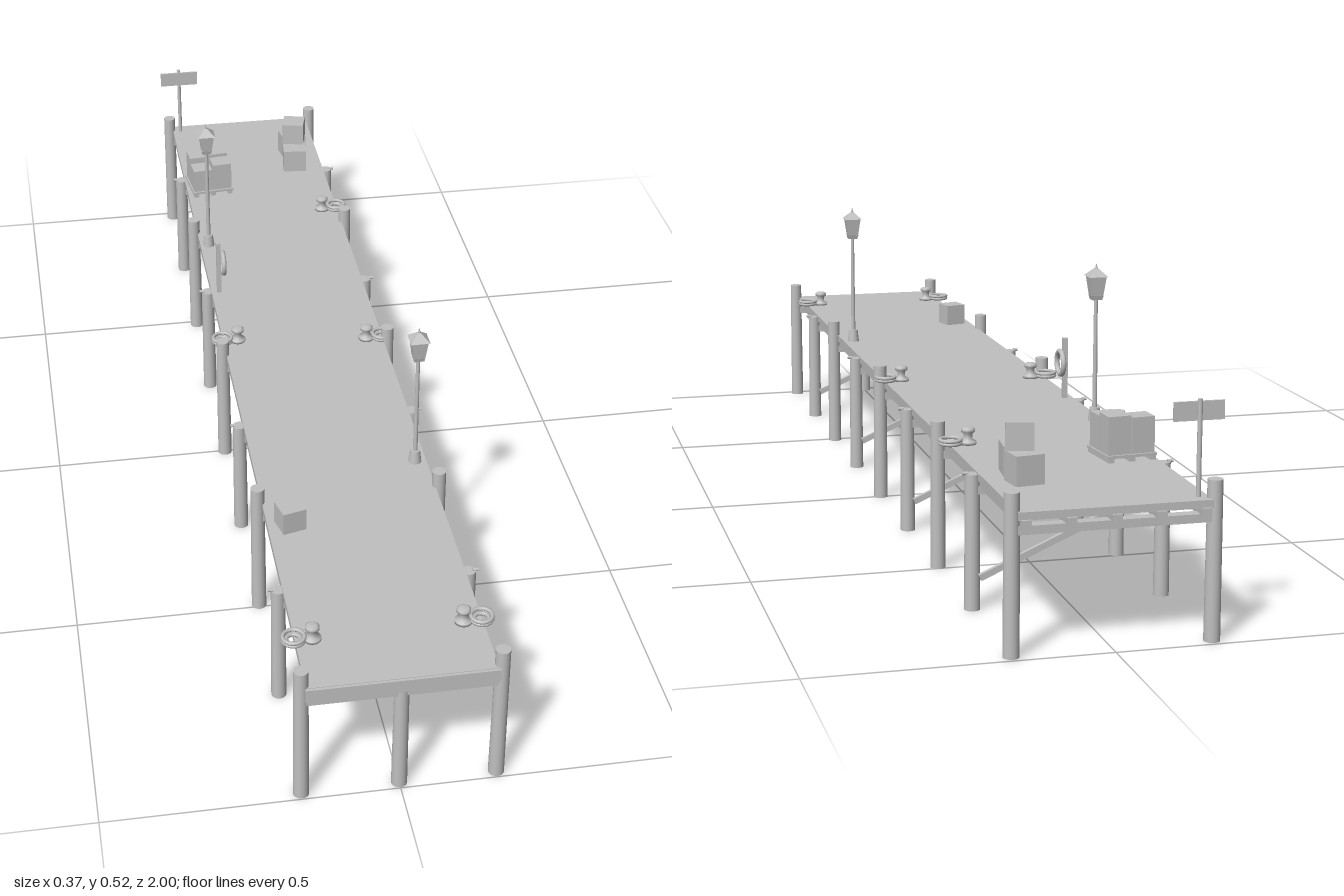
import * as THREE from 'three';

const grey = new THREE.MeshStandardMaterial({ color: 0xc0c0c0 });
grey.name = 'plain grey';
const DECK = 0.235;

function add(parent, name, geometry, x = 0, y = 0, z = 0) {
  const mesh = new THREE.Mesh(geometry, grey);
  mesh.name = name;
  mesh.position.set(x, y, z);
  parent.add(mesh);
  return mesh;
}
const box = (w, h, d) => new THREE.BoxGeometry(w, h, d);
const cyl = (top, bottom, h, n = 20) => new THREE.CylinderGeometry(top, bottom, h, n);
const lathe = (pts, n = 20) => new THREE.LatheGeometry(pts.map(p => new THREE.Vector2(...p)), n);

function group(parent, name, x, y, z, turn = 0) {
  const g = new THREE.Group();
  g.name = name;
  g.position.set(x, y, z);
  g.rotation.y = turn;
  parent.add(g);
  return g;
}

// Four-sided street lamp on a square foot
function lamp(parent, x, z) {
  const g = group(parent, 'lamp', x, DECK, z);
  const square = (name, top, bottom, h, y) => {
    const geo = cyl(top * Math.SQRT2, bottom * Math.SQRT2, h, 4).toNonIndexed();
    geo.computeVertexNormals();
    add(g, name, geo, 0, y, 0).rotation.y = Math.PI / 4;
  };
  add(g, 'lampFoot', cyl(0.009, 0.012, 0.025), 0, 0.0125, 0);
  add(g, 'lampPole', cyl(0.0035, 0.0045, 0.22, 12), 0, 0.115, 0);
  square('lanternBase', 0.011, 0.009, 0.008, 0.226);
  square('lantern', 0.015, 0.0105, 0.034, 0.247);
  square('lanternRoof', 0.003, 0.0175, 0.014, 0.271);
  add(g, 'lanternTip', cyl(0.0004, 0.003, 0.01, 8), 0, 0.282, 0);
}

// Bollard with a coil of rope on its outer side
function mooring(parent, x, z) {
  const g = group(parent, 'mooring', x, DECK, z);
  add(g, 'bollard', lathe([[0, 0], [0.015, 0], [0.015, 0.005], [0.008, 0.008], [0.0075, 0.018],
    [0.012, 0.022], [0.012, 0.027], [0.008, 0.03], [0, 0.03]]));
  for (let i = 0; i < 3; i++) {
    const coil = add(g, 'ropeCoil', new THREE.TorusGeometry(0.018 - (i % 2) * 0.006, 0.0035, 8, 24),
      Math.sign(x) * 0.031, i === 2 ? 0.009 : 0.0035, 0);
    coil.rotation.x = Math.PI / 2;
  }
}

function crate(parent, x, y, z, size, turn) {
  add(parent, 'crate', box(size, size, size), x, y + size / 2, z).rotation.y = turn;
}

export function createModel() {
  const pier = new THREE.Group();
  pier.name = 'pier';

  // Deck, stringers and front board
  add(pier, 'deck', box(0.316, 0.013, 1.99), 0, DECK - 0.0065, 0);
  add(pier, 'frontBoard', box(0.32, 0.024, 0.008), 0, 0.222, 0.996);
  for (let i = -2; i <= 2; i++)
    add(pier, 'stringer', box(0.016, 0.014, 1.985), i * 0.073, 0.216, -0.0075);

  // Piles, crossbeams and diagonal braces
  for (let i = 0; i < 9; i++) {
    const z = 0.985 - i * 0.2458;
    const tall = i % 2 === 0;
    const h = tall ? 0.265 : 0.232;
    for (const s of [-1, 1]) {
      add(pier, 'pile', cyl(0.0125, 0.0135, h), s * 0.165, h / 2, z);
      if (!tall) {
        const bolt = add(pier, 'pileBolt', cyl(0.003, 0.003, 0.01, 10), s * 0.177, 0.233, z);
        bolt.rotation.z = Math.PI / 2;
      }
    }
    add(pier, 'crossbeam', box(0.32, 0.014, 0.02), 0, 0.205, z);
    if (!tall) {
      const brace = add(pier, 'brace', box(0.34, 0.011, 0.008), 0, 0.126, z - 0.015);
      brace.rotation.z = -Math.atan2(0.135, 0.31);
    }
  }
  add(pier, 'middlePile', cyl(0.0125, 0.0135, 0.209), 0, 0.1045, 0.985);

  // Lamps and moorings
  lamp(pier, -0.14, -0.43);
  lamp(pier, 0.137, 0.415);
  for (const [x, z] of [[-0.129, 0.877], [0.125, 0.873], [-0.129, -0.043], [0.125, -0.01], [0.125, -0.547]])
    mooring(pier, x, z);

  // Life ring on its post
  add(pier, 'ringPost', box(0.009, 0.115, 0.009), -0.142, DECK + 0.0575, -0.235);
  add(pier, 'lifeRing', new THREE.TorusGeometry(0.022, 0.005, 10, 28), -0.133, 0.303, -0.235).rotation.y = Math.PI / 2;

  // Signpost at the back
  add(pier, 'signPost', cyl(0.004, 0.004, 0.157, 12), -0.141, DECK + 0.0785, -0.971);
  add(pier, 'signBoard', box(0.084, 0.031, 0.004), -0.141, 0.372, -0.966);

  // Loaded pallet
  const pallet = group(pier, 'pallet', -0.107, DECK, -0.69, 0.1);
  for (let i = -1; i <= 1; i++) add(pallet, 'palletRunner', box(0.01, 0.007, 0.088), i * 0.038, 0.0035, 0);
  add(pallet, 'palletTop', box(0.09, 0.005, 0.088), 0, 0.0095, 0);
  [[-1, -1, 0.062], [1, -1, 0.066], [-1, 1, 0.05], [1, 1, 0.06]].forEach(([x, z, h]) =>
    add(pallet, 'cargoBox', box(0.041, h, 0.039), x * 0.0215, 0.012 + h / 2, z * 0.0205));

  // Loose crates
  crate(pier, 0.1, DECK, -0.82, 0.05, 0.15);
  crate(pier, 0.096, DECK, -0.755, 0.05, -0.1);
  crate(pier, 0.1, DECK + 0.05, -0.79, 0.047, -0.25);
  crate(pier, -0.118, DECK, 0.57, 0.043, 0.25);
  return pier;
}
